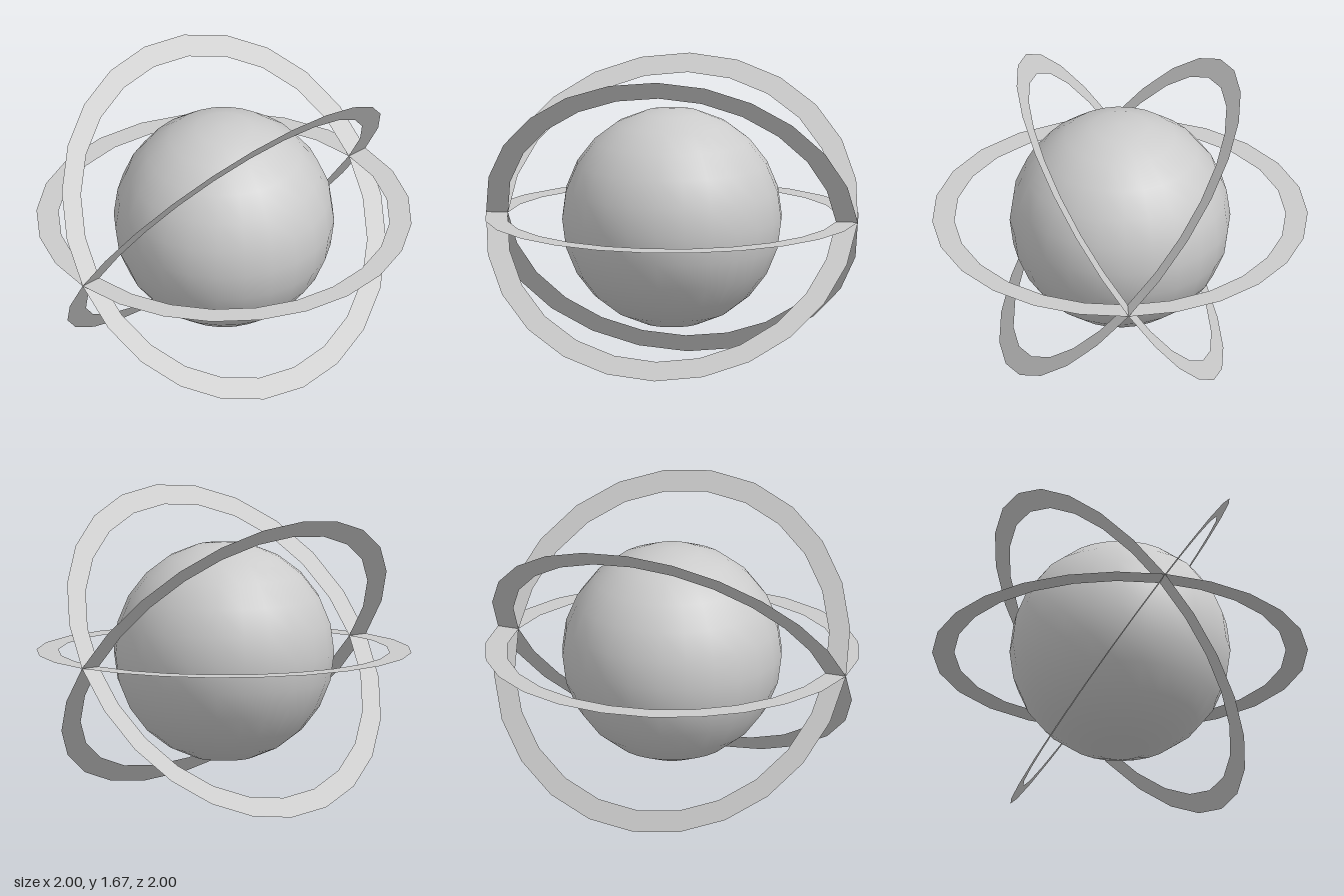
import * as THREE from 'three';

const CENTER_Y = 0.835;
const SEGMENTS = 24;

export function createModel() {
  const model = new THREE.Group();
  model.name = 'ringedSphere';

  const material = new THREE.MeshStandardMaterial({ color: 0xcccccc });
  const ringMaterial = new THREE.MeshStandardMaterial({ color: 0xcccccc, side: THREE.DoubleSide });

  // Smooth central ball
  const sphere = new THREE.Mesh(new THREE.SphereGeometry(0.588, SEGMENTS, SEGMENTS / 2), material);
  sphere.name = 'sphere';
  sphere.position.y = CENTER_Y;
  model.add(sphere);

  // Paper-thin flat rings, all sharing the z axis as their hinge line
  const ringGeometry = new THREE.RingGeometry(0.882, 1, SEGMENTS).rotateX(-Math.PI / 2);
  const tilts = { levelRing: 0, steepRing: 56.6, slopedRing: -50 };
  for (const [name, degrees] of Object.entries(tilts)) {
    const ring = new THREE.Mesh(ringGeometry, ringMaterial);
    ring.name = name;
    ring.position.y = CENTER_Y;
    ring.rotation.z = THREE.MathUtils.degToRad(degrees);
    model.add(ring);
  }

  return model;
}
